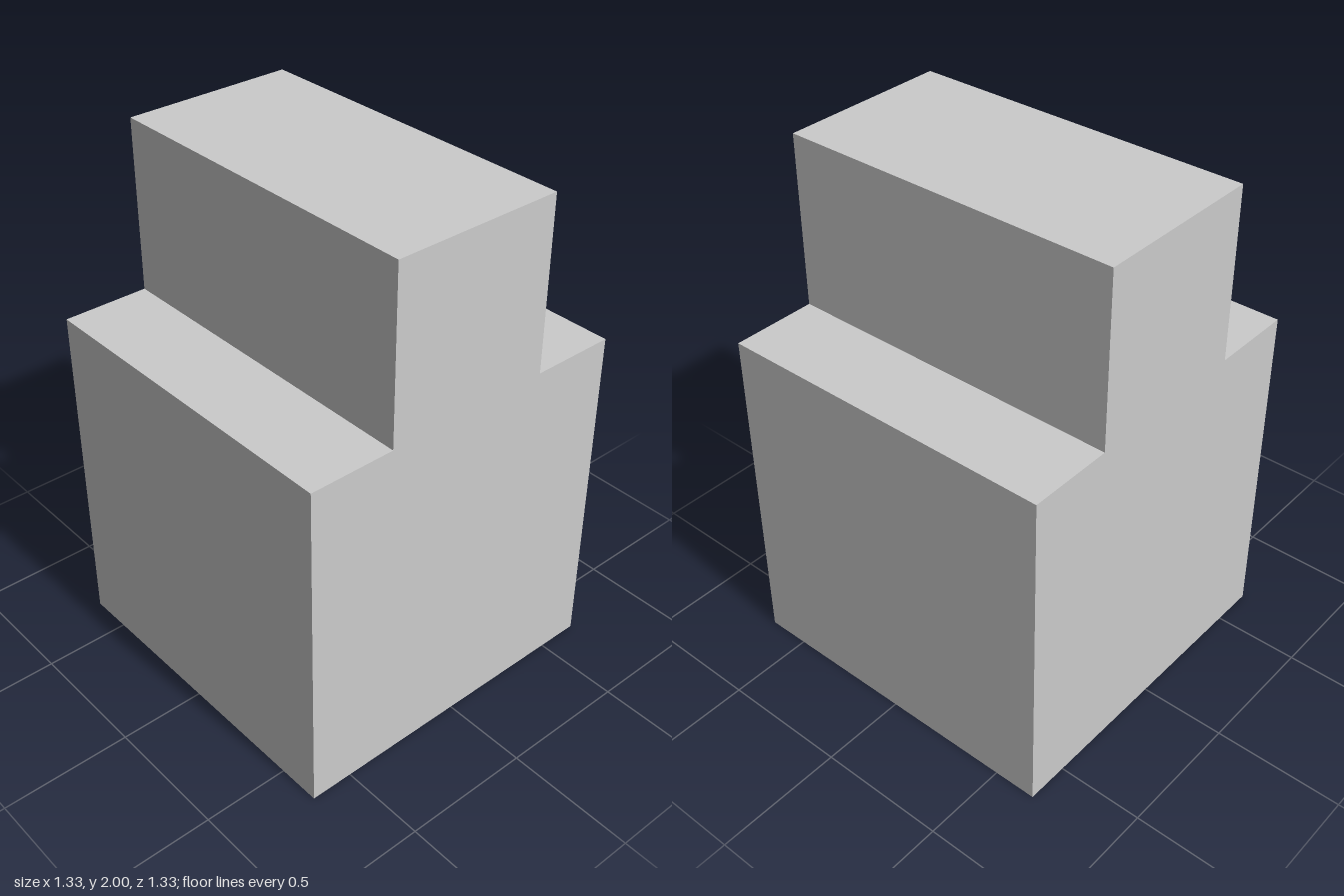
import * as THREE from 'three';

const UNIT = 2 / 3; // the block is 2 x 3 x 2 units, with a ridge 1 unit square

export function createModel() {
  const group = new THREE.Group();
  group.name = 'steppedBlock';

  // Side profile: a wide base with a centred, narrower ridge
  const half = [[1, 0], [1, 2], [0.5, 2], [0.5, 3]];
  const outline = [...half, ...half.map(([z, y]) => [-z, y]).reverse()];
  const profile = new THREE.Shape(outline.map(([z, y]) => new THREE.Vector2(z * UNIT, y * UNIT)));

  // Run the profile across the full width, centred on x
  const width = 2 * UNIT;
  const geometry = new THREE.ExtrudeGeometry(profile, { depth: width, bevelEnabled: false });
  geometry.translate(0, 0, -width / 2).rotateY(Math.PI / 2);

  const block = new THREE.Mesh(
    geometry,
    new THREE.MeshStandardMaterial({ color: 0xcccccc, flatShading: true })
  );
  block.name = 'blockWithRidge';
  group.add(block);
  return group;
}
